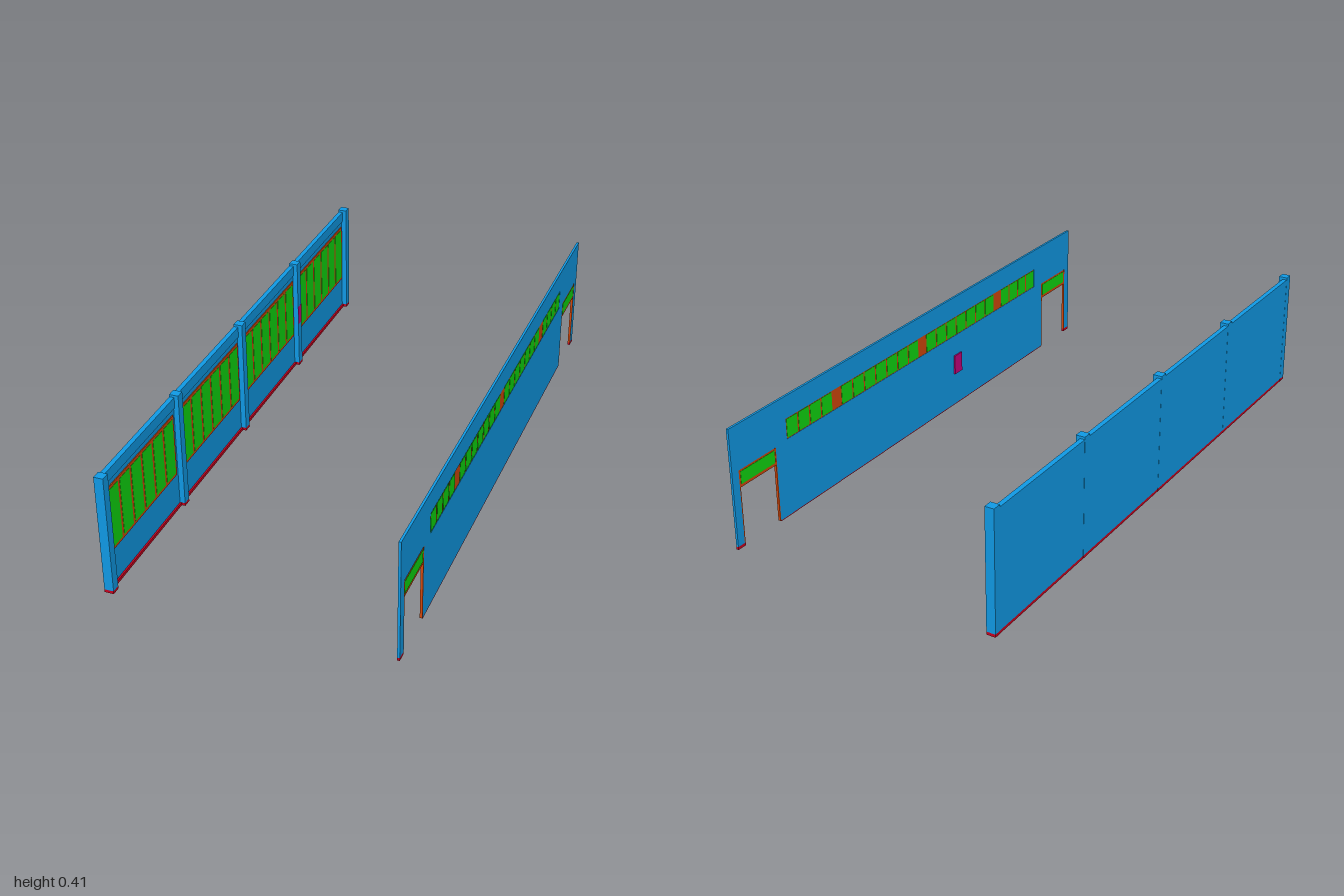
import * as THREE from 'three';

const mat = (color) => new THREE.MeshStandardMaterial({ color });

export function createModel() {
  const model = new THREE.Group();
  const blue = mat(0x109ae6), green = mat(0x10d810), orange = mat(0xd2480c);
  const red = mat(0xc8001e), pink = mat(0xc4007c);

  // Box given by its limits on each axis
  function box(parent, name, material, x0, x1, y0, y1, z0, z1) {
    const mesh = new THREE.Mesh(new THREE.BoxGeometry(x1 - x0, y1 - y0, Math.abs(z1 - z0)), material);
    mesh.position.set((x0 + x1) / 2, (y0 + y1) / 2, (z0 + z1) / 2);
    mesh.name = name;
    parent.add(mesh);
  }

  // Row of glass panes standing proud of a frame panel
  function paneRow(parent, count, x0, x1, y0, y1, z0, z1, gap) {
    const pitch = (z1 - z0) / count;
    for (let i = 0; i < count; i++) {
      const z = z0 + i * pitch;
      box(parent, 'windowPane', green, x0, x1, y0, y1, z + gap / 2, z + pitch - gap / 2);
    }
  }

  // Wall with pilasters and tall windows on its inner face
  const left = new THREE.Group();
  left.name = 'pilasterWall';
  model.add(left);
  box(left, 'wallPanel', blue, -0.467, -0.455, 0.01, 0.402, -1, 1);
  box(left, 'wallBase', red, -0.467, -0.449, 0, 0.01, -1, 1);
  box(left, 'topRail', blue, -0.455, -0.451, 0.365, 0.402, -1, 1);
  for (const [z0, z1] of [[-1, -0.97], [-0.505, -0.475], [-0.015, 0.015], [0.475, 0.505], [0.97, 1]]) {
    box(left, 'pilaster', blue, -0.4675, -0.437, 0.01, 0.41, z0, z1);
    box(left, 'pilasterFoot', red, -0.4675, -0.437, 0, 0.01, z0, z1);
  }
  for (const z of [-0.74, -0.245, 0.245, 0.74]) {
    box(left, 'windowFrame', orange, -0.456, -0.452, 0.125, 0.345, z - 0.223, z + 0.223);
    paneRow(left, 6, -0.454, -0.451, 0.135, 0.335, z - 0.22, z + 0.22, 0.012);
  }
  box(left, 'wallBox', pink, -0.439, -0.4365, 0.17, 0.24, -0.505, -0.475);

  // Wall with two door openings and a high window strip
  const right = new THREE.Group();
  right.name = 'doorWall';
  model.add(right);
  const X0 = 0.456, X1 = 0.464;
  const outline = new THREE.Shape([
    [-1, 0.01], [-0.97, 0.01], [-0.97, 0.26], [-0.795, 0.26], [-0.795, 0.003],
    [0.795, 0.003], [0.795, 0.26], [0.97, 0.26], [0.97, 0.01], [1, 0.01], [1, 0.41], [-1, 0.41],
  ].map(([z, y]) => new THREE.Vector2(z, y)));
  outline.holes.push(new THREE.Path([[-0.74, 0.265], [-0.74, 0.335], [0.74, 0.335], [0.74, 0.265]]
    .map(([z, y]) => new THREE.Vector2(z, y))));
  const wall = new THREE.Mesh(new THREE.ExtrudeGeometry(outline, { depth: X1 - X0, bevelEnabled: false }), blue);
  wall.name = 'wallPanel';
  wall.rotation.y = -Math.PI / 2;
  wall.position.x = X1;
  right.add(wall);
  box(right, 'wallBase', red, X0, X1, 0, 0.003, -0.795, 0.795);

  // High window strip, with wide posts between its four groups
  box(right, 'stripFrame', orange, X0 + 0.001, X1 - 0.001, 0.265, 0.335, -0.74, 0.74);
  for (const [n, z0, z1] of [[4, -0.74, -0.505], [7, -0.46, -0.022], [7, 0.022, 0.46], [4, 0.505, 0.74]])
    paneRow(right, n, X0, X1, 0.268, 0.332, z0, z1, 0.007);

  // Door openings: transom, jambs and foot of the end pier
  for (const s of [-1, 1]) {
    box(right, 'transomFrame', orange, X0 + 0.001, X1 - 0.001, 0.2, 0.26, s * 0.795, s * 0.97);
    box(right, 'transomPane', green, X0, X1, 0.21, 0.253, s * 0.803, s * 0.962);
    box(right, 'doorJamb', orange, X0, X1, 0.003, 0.26, s * 0.795, s * 0.799);
    box(right, 'doorJamb', orange, X0, X1, 0.01, 0.26, s * 0.966, s * 0.97);
    box(right, 'pierFoot', red, X0, X1, 0, 0.01, s * 0.966, s);
  }
  box(right, 'wallBox', pink, 0.451, X0, 0.12, 0.19, 0.19, 0.235);
  return model;
}
